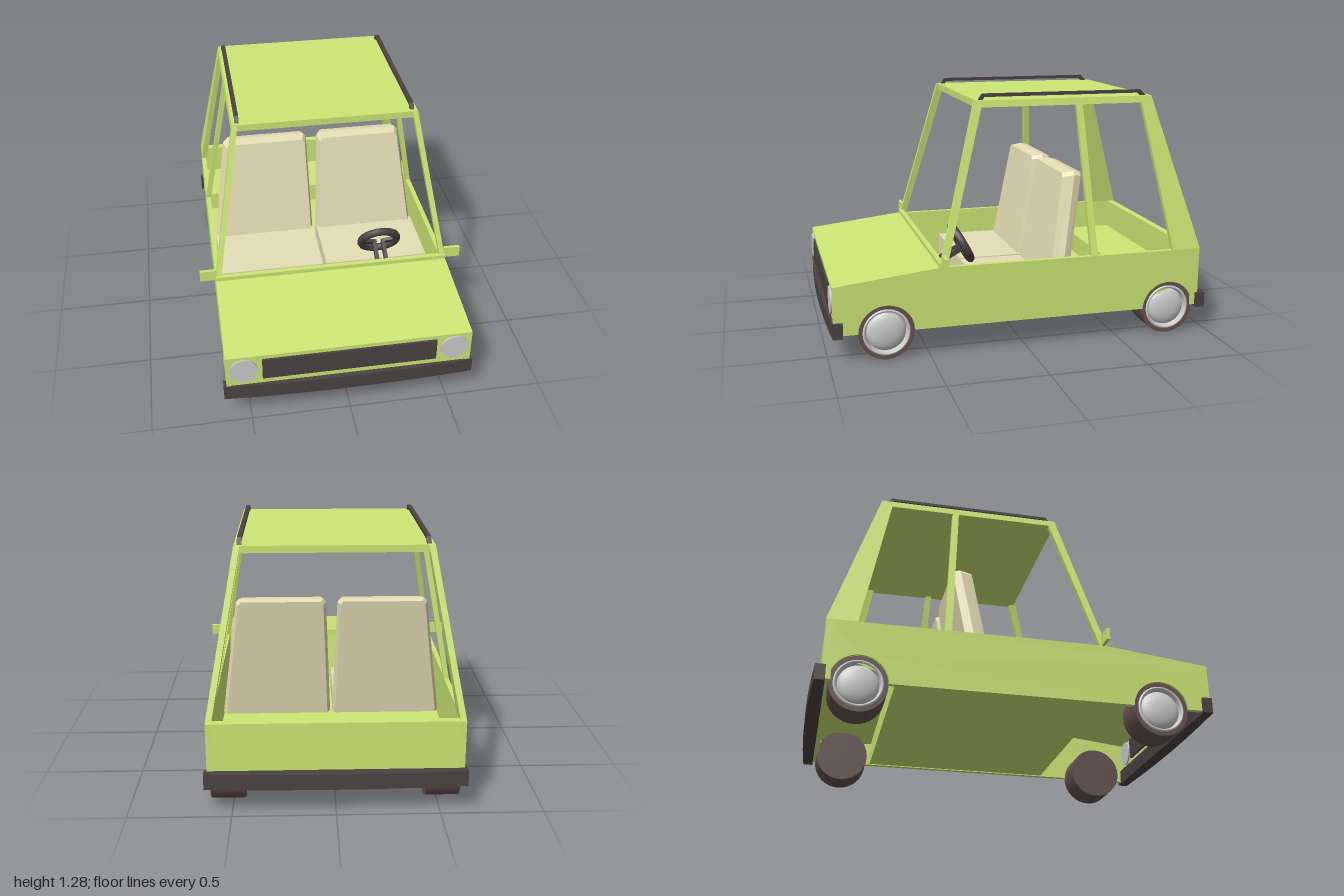
import * as THREE from 'three';

const mat = (color) => new THREE.MeshStandardMaterial({ color });
const GREEN = mat(0xcde774), DARK = mat(0x4a4342), TIRE = mat(0x64524f), SEAT = mat(0xe6dfb6), METAL = mat(0xc8c8c8);
const SILL = 0.453, HALF = 0.617, SLOPE = 0.178;
const AXLES = [['Rear', -0.775], ['Front', 0.715]], AXLE_Y = 0.14, WHEEL_R = 0.14;

export function createModel() {
  const car = new THREE.Group();
  car.name = 'car';

  const add = (name, geo, material, x = 0, y = 0, z = 0, parent = car) => {
    const m = new THREE.Mesh(geo, material);
    m.name = name;
    m.position.set(x, y, z);
    parent.add(m);
    return m;
  };
  const box = (name, material, x0, x1, y0, y1, z0, z1) =>
    add(name, new THREE.BoxGeometry(x1 - x0, y1 - y0, z1 - z0), material, (x0 + x1) / 2, (y0 + y1) / 2, (z0 + z1) / 2);
  const shapeOf = (pts) => new THREE.Shape(pts.map(([a, b]) => new THREE.Vector2(a, b)));

  // Side profile given as [z, y] points, extruded across x from x0 to x1
  const profile = (pts, x0, x1) => {
    const g = new THREE.ExtrudeGeometry(shapeOf(pts), { depth: x1 - x0, bevelEnabled: false });
    return g.rotateY(-Math.PI / 2).translate(x1, 0, 0);
  };
  // Cabin pillar leaning inwards with height
  const leaning = (pts, s, t) => {
    const g = s > 0 ? profile(pts, HALF - t, HALF) : profile(pts, -HALF, -HALF + t);
    const p = g.attributes.position;
    for (let i = 0; i < p.count; i++) p.setX(i, p.getX(i) - s * SLOPE * (p.getY(i) - SILL));
    g.computeVertexNormals();
    return g;
  };

  // Lower body
  add('hood', profile([[0.975, 0.37], [0.975, 0.392], [0.44, SILL], [0.44, 0.43]], -HALF, HALF), GREEN);
  box('frontPanel', GREEN, -HALF, HALF, 0.145, 0.38, 0.952, 0.972);
  box('rearPanel', GREEN, -HALF, HALF, 0.145, SILL, -0.945, -0.905);
  box('cowl', GREEN, -HALF, HALF, 0.44, 0.474, 0.425, 0.45);
  add('floor', profile([
    [0.44, 0.44], [0.42, 0.15], [-0.605, 0.15], [-0.605, 0.27], [-0.92, 0.27], [-0.92, 0.29],
    [-0.62, 0.29], [-0.62, 0.18], [0.405, 0.18], [0.425, 0.44],
  ].reverse(), -0.605, 0.605), GREEN);

  // Side panel outline with a round arch over each wheel
  const sideOutline = [[0.975, 0.145], [0.975, 0.392], [0.44, SILL], [-0.948, SILL], [-0.938, 0.145]];
  for (const [, z] of AXLES) {
    for (let i = 0; i <= 20; i++) {
      const a = Math.PI * (1 - i / 20), r = WHEEL_R + 0.001;
      sideOutline.push([z + Math.cos(a) * r, Math.max(0.145, AXLE_Y + Math.sin(a) * r)]);
    }
  }

  // Roof slab
  const roof = new THREE.ExtrudeGeometry(
    shapeOf([[-0.481, 1.215], [0.481, 1.215], [0.475, 1.25], [-0.475, 1.25]]), { depth: 0.935, bevelEnabled: false });
  add('roof', roof, GREEN, 0, 0, -0.705);

  // Hubcap: raised ring around a deep dome
  const cap = [[0.119, 0], [0.115, 0.006], [0.109, 0.007], [0.104, 0], [0.1, -0.025]];
  for (let i = 1; i <= 8; i++) {
    const a = (i / 8) * Math.PI / 2;
    cap.push([0.1 * Math.cos(a), -0.025 + 0.037 * Math.sin(a)]);
  }

  // Parts on both sides
  for (const s of [1, -1]) {
    const side = s > 0 ? 'left' : 'right';
    const span = (a, b) => (s > 0 ? [a, b] : [-b, -a]);

    add(side + 'BodySide', profile(sideOutline, ...span(0.592, HALF)), GREEN);
    add(side + 'FrontPillar', leaning([[0.445, SILL], [0.235, 1.25], [0.2, 1.22], [0.41, SILL]], s, 0.027), GREEN);
    add(side + 'MiddlePillar', leaning([[-0.342, SILL], [-0.295, 1.22], [-0.328, 1.22], [-0.377, SILL]], s, 0.027), GREEN);
    add(side + 'RearPillar', leaning([[-0.795, SILL], [-0.65, 1.22], [-0.705, 1.25], [-0.948, SILL]], s, 0.03), GREEN);
    box(side + 'Mirror', GREEN, ...span(0.61, 0.698), 0.452, 0.512, 0.42, 0.437);

    add(side + 'RoofRail', profile([
      [0.21, 1.25], [0.19, 1.28], [-0.65, 1.28], [-0.68, 1.25],
      [-0.655, 1.25], [-0.64, 1.264], [0.182, 1.264], [0.19, 1.25],
    ], ...span(0.438, 0.46)), DARK);

    const lamp = new THREE.CylinderGeometry(0.07, 0.07, 0.04, 32).rotateX(Math.PI / 2);
    add(side + 'Headlight', lamp, METAL, s * 0.53, 0.307, 0.963);

    // Seat cushion and reclined back with chamfered front and rear edges
    box(side + 'SeatCushion', SEAT, ...span(0.01, 0.58), 0.17, 0.31, -0.16, 0.21);
    const outline = [[0.005, 0.2], [0.592, 0.2], [0.502, 0.855], [0.485, 0.873], [0.045, 0.873], [0.03, 0.855]];
    const back = new THREE.ExtrudeGeometry(
      shapeOf(outline.map(([x, y]) => [x * s, y])), { depth: 0.1, steps: 2, bevelEnabled: false });
    const p = back.attributes.position;
    for (let i = 0; i < p.count; i++) {
      const z = p.getZ(i), y = p.getY(i);
      const inset = z > 0.09 ? 0.94 : z < 0.01 ? 0.94 : 1;
      p.setX(i, s * 0.27 + (p.getX(i) - s * 0.27) * inset);
      if (inset < 1 && y > 0.8) p.setY(i, y - 0.008);
      p.setZ(i, (inset === 1 ? 0.04 : z) - 0.235 - (y - 0.31) * 0.16);
    }
    back.computeVertexNormals();
    add(side + 'SeatBack', back, SEAT);

    // Wheels set in the arches
    for (const [end, z] of AXLES) {
      const wheel = new THREE.Group();
      wheel.name = side + end + 'Wheel';
      wheel.position.set(s * 0.523, AXLE_Y, z);
      wheel.rotation.y = s > 0 ? 0 : Math.PI;
      car.add(wheel);
      // Tire hollow on its outer face to hold the hubcap
      const section = [[0, -0.083], [WHEEL_R, -0.083], [WHEEL_R, 0.083], [0.118, 0.083]];
      section.forEach(([r, h], i) => {
        if (i === 0) return;
        const [r0, h0] = section[i - 1];
        const band = new THREE.LatheGeometry([new THREE.Vector2(r0, h0), new THREE.Vector2(r, h)], 32);
        add('tire', band.rotateZ(-Math.PI / 2), TIRE, 0, 0, 0, wheel);
      });
      const hub = new THREE.LatheGeometry(cap.map(([r, h]) => new THREE.Vector2(r, h)), 32).rotateZ(-Math.PI / 2);
      add('hubcap', hub, METAL, 0.083, 0, 0, wheel);
    }
  }

  // Grille and slightly bowed bumpers
  box('grille', DARK, -0.437, 0.437, 0.248, 0.367, 0.94, 0.984);
  const bumper = () => {
    const sh = new THREE.Shape();
    sh.moveTo(-0.631, 0);
    sh.lineTo(-0.631, -0.05);
    sh.quadraticCurveTo(0, -0.09, 0.631, -0.05);
    sh.lineTo(0.631, 0);
    const g = new THREE.ExtrudeGeometry(sh, { depth: 0.079, bevelEnabled: false, curveSegments: 10 });
    return g.rotateX(-Math.PI / 2);
  };
  add('frontBumper', bumper(), DARK, 0, 0.133, 0.93);
  const rear = add('rearBumper', bumper(), DARK, 0, 0.133, -0.93);
  rear.rotation.y = Math.PI;

  // Steering wheel on twin bars, local z pointing at the driver
  const steering = new THREE.Group();
  steering.name = 'steeringWheel';
  steering.position.set(0.29, 0.484, 0.268);
  steering.rotation.set(Math.PI + 0.5, 0, 0);
  car.add(steering);
  add('steeringRim', new THREE.TorusGeometry(0.098, 0.022, 8, 24), DARK, 0, 0, 0, steering);
  for (const s of [1, -1]) {
    const spoke = add('steeringSpoke', new THREE.BoxGeometry(0.085, 0.026, 0.018), DARK, s * 0.055, 0.012, 0, steering);
    spoke.rotation.z = -s * 0.25;
    add('steeringBar', new THREE.BoxGeometry(0.02, 0.026, 0.16), DARK, s * 0.024, 0.02, -0.073, steering);
  }

  return car;
}
